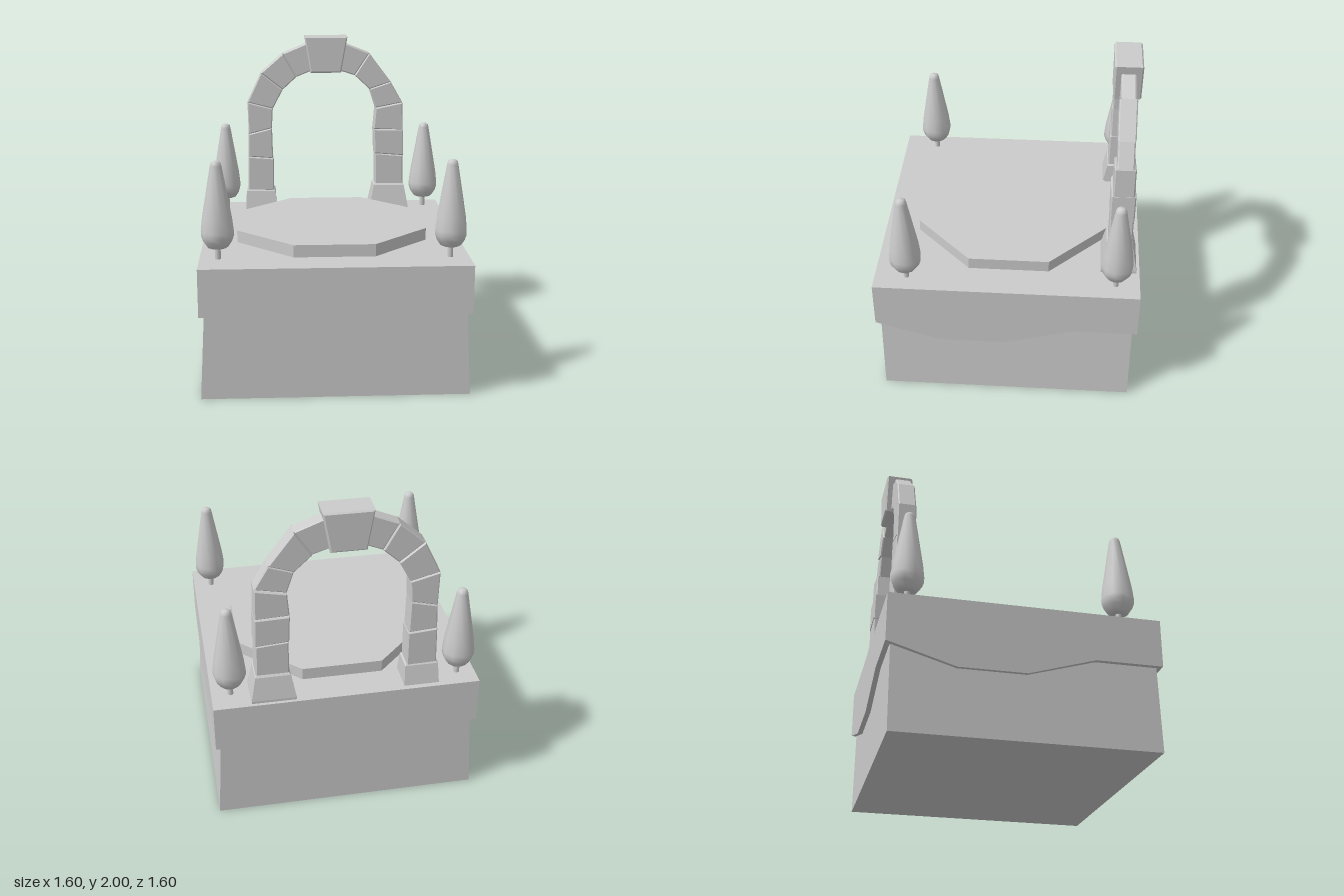
import * as THREE from 'three';

const flat = new THREE.MeshStandardMaterial({ color: 0xcccccc, flatShading: true });
const smooth = new THREE.MeshStandardMaterial({ color: 0xcccccc });
const ARCH_Z = -0.672;

function add(parent, name, geometry, material = flat) {
  const mesh = new THREE.Mesh(geometry, material);
  mesh.name = name;
  parent.add(mesh);
  return mesh;
}

// Stack of rectangular rings, each level is [y, halfX, halfZ]
function rectLoft(levels) {
  const n = levels.length - 1;
  const g = new THREE.BoxGeometry(1, 1, 1, 1, n, 1);
  const p = g.attributes.position;
  for (let i = 0; i < p.count; i++) {
    const [y, hx, hz] = levels[Math.round((p.getY(i) + 0.5) * n)];
    p.setXYZ(i, Math.sign(p.getX(i)) * hx, y, Math.sign(p.getZ(i)) * hz);
  }
  g.computeVertexNormals();
  return g;
}

function shapeOf(points) {
  return new THREE.Shape(points.map(([x, y]) => new THREE.Vector2(x, y)));
}

// Arch stone: four corners in the front plane, with slightly chamfered edges
function stone(corners, depth, bevel = 0.007) {
  const g = new THREE.ExtrudeGeometry(shapeOf(corners), {
    depth: depth - 2 * bevel, bevelSize: bevel, bevelThickness: bevel,
    bevelOffset: -bevel, bevelSegments: 1,
  });
  return g.translate(0, 0, bevel - depth / 2);
}

function createBase(group) {
  add(group, 'lowerBlock', rectLoft([[0, 0.8, 0.77], [0.53, 0.77, 0.77]]));
  add(group, 'upperSlab', new THREE.BoxGeometry(1.6, 0.29, 1.6)).position.y = 0.665;

  // Overhanging wavy lip hanging below each side of the slab
  const wave = shapeOf([[-0.4, 0.52], [0, 0.4], [0.4, 0.4], [0.8, 0.52]]);
  const lip = () => new THREE.ExtrudeGeometry(wave, { depth: 0.04, bevelEnabled: false });
  add(group, 'frontLip', lip().translate(0, 0, 0.76));
  add(group, 'backLip', lip().translate(0, 0, -0.8));
  add(group, 'rightLip', lip().scale(-1, 1, -1).translate(0, 0, 0.8).rotateY(Math.PI / 2));
  add(group, 'leftLip', lip().scale(-1, 1, -1).translate(0, 0, 0.8).rotateY(-Math.PI / 2));

  const platform = new THREE.CylinderGeometry(0.637, 0.637, 0.075, 8).rotateY(Math.PI / 8);
  add(group, 'octagonPlatform', platform).position.set(0, 0.8475, -0.005);
}

function createArch(group) {
  const arch = new THREE.Group();
  arch.name = 'stoneArch';
  arch.position.z = ARCH_Z;
  group.add(arch);

  // Footings
  add(arch, 'smallFooting', rectLoft([
    [0.81, 0.106, 0.095], [0.935, 0.1, 0.07], [0.945, 0.09, 0.062],
  ])).position.x = -0.45;
  add(arch, 'largeFooting', rectLoft([
    [0.81, 0.133, 0.108], [0.825, 0.133, 0.108], [0.97, 0.105, 0.08], [0.985, 0.093, 0.068],
  ])).position.x = 0.44;

  // Each stone: four corners counter-clockwise, then depth
  const leftStones = [
    [[[-0.54, 0.94], [-0.36, 0.935], [-0.36, 1.165], [-0.535, 1.178]], 0.13],
    [[[-0.535, 1.178], [-0.365, 1.165], [-0.37, 1.375], [-0.53, 1.335]], 0.12],
    [[[-0.53, 1.335], [-0.37, 1.375], [-0.362, 1.51], [-0.535, 1.555]], 0.115],
    [[[-0.535, 1.555], [-0.362, 1.51], [-0.293, 1.64], [-0.44, 1.755]], 0.108],
    [[[-0.44, 1.755], [-0.293, 1.64], [-0.2, 1.725], [-0.29, 1.885]], 0.1],
    [[[-0.29, 1.885], [-0.2, 1.725], [-0.09, 1.77], [-0.12, 1.955]], 0.088],
  ];
  const rightStones = [
    [[[0.345, 0.975], [0.54, 0.96], [0.535, 1.18], [0.343, 1.195]], 0.14],
    [[[0.34, 1.195], [0.54, 1.18], [0.537, 1.36], [0.333, 1.365]], 0.145],
    [[[0.333, 1.365], [0.535, 1.355], [0.53, 1.547], [0.345, 1.51]], 0.125],
    [[[0.345, 1.51], [0.53, 1.547], [0.448, 1.69], [0.302, 1.64]], 0.098],
    [[[0.302, 1.64], [0.448, 1.69], [0.3, 1.885], [0.2, 1.735]], 0.105],
    [[[0.2, 1.735], [0.3, 1.885], [0.12, 1.955], [0.09, 1.77]], 0.088],
  ];
  leftStones.forEach(([c, d], i) => add(arch, `archStoneA${i + 1}`, stone(c, d)));
  rightStones.forEach(([c, d], i) => add(arch, `archStoneB${i + 1}`, stone(c, d)));

  add(arch, 'keystone', stone([[-0.103, 1.757], [0.105, 1.757], [0.148, 2], [-0.142, 2]], 0.166, 0.009));
}

function createTree(x, z, angle) {
  const tree = new THREE.Group();
  tree.name = 'tree';
  const trunk = new THREE.CylinderGeometry(0.017, 0.017, 0.09, 10, 1, true);
  add(tree, 'trunk', trunk, smooth).position.y = 0.045;

  // Tall foliage with a rounded base and tip
  const profile = [
    [0, 0.068], [0.045, 0.068], [0.062, 0.075], [0.086, 0.11], [0.096, 0.14], [0.097, 0.17],
    [0.088, 0.25], [0.034, 0.56], [0.029, 0.578], [0.018, 0.587], [0, 0.59],
  ].map(([r, y]) => new THREE.Vector2(r, y));
  add(tree, 'foliage', new THREE.LatheGeometry(profile, 10), smooth);
  tree.position.set(x, 0.81, z);
  tree.rotation.y = angle;
  return tree;
}

export function createModel() {
  const group = new THREE.Group();
  group.name = 'gardenWithArch';
  createBase(group);
  createArch(group);
  const spots = [[-0.69, -0.677], [0.685, -0.655], [-0.69, 0.587], [0.685, 0.607]];
  spots.forEach(([x, z], i) => group.add(createTree(x, z, i * 0.15)));
  return group;
}
